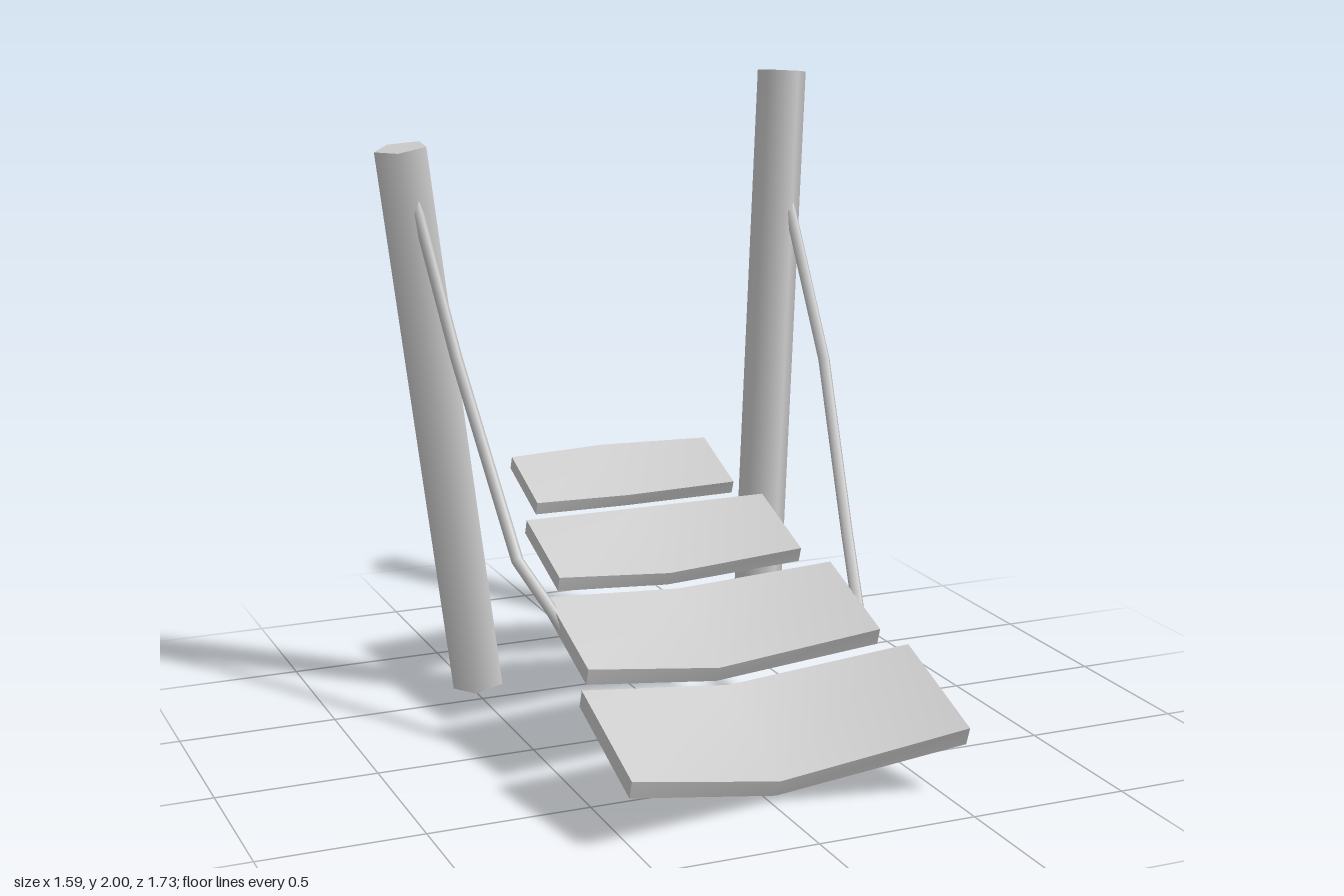
import * as THREE from 'three';
import { toCreasedNormals } from 'three/addons/utils/BufferGeometryUtils.js';

const material = new THREE.MeshStandardMaterial({ color: 0xcccccc });
const vec = (p) => new THREE.Vector3(...p);

// Path of straight runs, so that a tube along it keeps its kinks
class Polyline extends THREE.Curve {
  constructor(points) {
    super();
    this.points = points.map(vec);
  }
  getPoint(t, target = new THREE.Vector3()) {
    const s = t * (this.points.length - 1);
    const i = Math.min(Math.floor(s), this.points.length - 2);
    return target.lerpVectors(this.points[i], this.points[i + 1], s - i);
  }
  getPointAt(u, target) { return this.getPoint(u, target); }
  getTangentAt(u, target) { return this.getTangent(u, target); }
}

function addMesh(parent, name, geometry) {
  const mesh = new THREE.Mesh(geometry, material);
  mesh.name = name;
  parent.add(mesh);
  return mesh;
}

// Five-sided leaning post between two points, turned about its axis
function post(bottom, top, turn) {
  const a = vec(bottom), b = vec(top);
  const axis = b.clone().sub(a);
  const geometry = new THREE.CylinderGeometry(0.086, 0.086, axis.length(), 5);
  geometry.rotateY(THREE.MathUtils.degToRad(turn));
  geometry.applyQuaternion(new THREE.Quaternion().setFromUnitVectors(
    new THREE.Vector3(0, 1, 0), axis.normalize()));
  const mid = a.add(b).multiplyScalar(0.5);
  return geometry.translate(mid.x, mid.y, mid.z);
}

// Sagging plank lofted through its right end, middle and left end.
// end and middle give the top edge as [front z, front y, back z, back y].
function slat({ x, end, middle, thickness }) {
  const positions = [], index = [];
  [[x[0], end], [0.02, middle], [x[1], end]].forEach(([px, [fz, fy, bz, by]]) => {
    const length = Math.hypot(fz - bz, by - fy);
    const dy = -thickness * (fz - bz) / length;
    const dz = -thickness * (by - fy) / length;
    positions.push(px, fy, fz, px, by, bz, px, by + dy, bz + dz, px, fy + dy, fz + dz);
  });
  for (let s = 0; s < 8; s += 4) {
    for (let j = 0; j < 4; j++) {
      const a = s + j, b = s + (j + 1) % 4;
      index.push(a, a + 4, b + 4, a, b + 4, b);
    }
  }
  index.push(0, 1, 2, 0, 2, 3, 8, 11, 10, 8, 10, 9);
  const geometry = new THREE.BufferGeometry();
  geometry.setAttribute('position', new THREE.Float32BufferAttribute(positions, 3));
  geometry.setIndex(index);
  return toCreasedNormals(geometry, 0.85);
}

function rope(points) {
  return new THREE.TubeGeometry(new Polyline(points), points.length - 1, 0.02, 5);
}

export function createModel() {
  const model = new THREE.Group();
  model.name = 'ropeBridgeEnd';

  // Posts
  addMesh(model, 'rightPost', post([-0.473, 0.011, -0.622], [-0.717, 1.825, -0.537], 49));
  addMesh(model, 'leftPost', post([0.543, 0.012, -0.617], [0.705, 1.99, -0.787], 14));

  // Walkway slats, front to back, each narrower than the last
  const slats = new THREE.Group();
  slats.name = 'slats';
  model.add(slats);
  [
    { x: [-0.515, 0.555], end: [0.865, 0.217, 0.475, 0.355], middle: [0.693, 0.07, 0.325, 0.248], thickness: 0.06 },
    { x: [-0.463, 0.5], end: [0.393, 0.385, 0.043, 0.505], middle: [0.255, 0.28, -0.073, 0.44], thickness: 0.056 },
    { x: [-0.395, 0.432], end: [-0.032, 0.537, -0.333, 0.643], middle: [-0.14, 0.472, -0.425, 0.615], thickness: 0.05 },
    { x: [-0.327, 0.367], end: [-0.42, 0.67, -0.667, 0.765], middle: [-0.5, 0.64, -0.735, 0.758], thickness: 0.045 },
  ].forEach((s, i) => addMesh(slats, `slat${i + 1}`, slat(s)));

  // Ropes from the posts down to the second slat
  addMesh(model, 'rightRope', rope([
    [-0.69, 1.67, -0.497], [-0.605, 1.18, -0.37], [-0.522, 0.6, -0.06], [-0.445, 0.43, 0.15],
  ]));
  addMesh(model, 'leftRope', rope([
    [0.69, 1.6, -0.72], [0.702, 1.06, -0.43], [0.587, 0.57, -0.01], [0.49, 0.395, 0.27],
  ]));

  return model;
}
